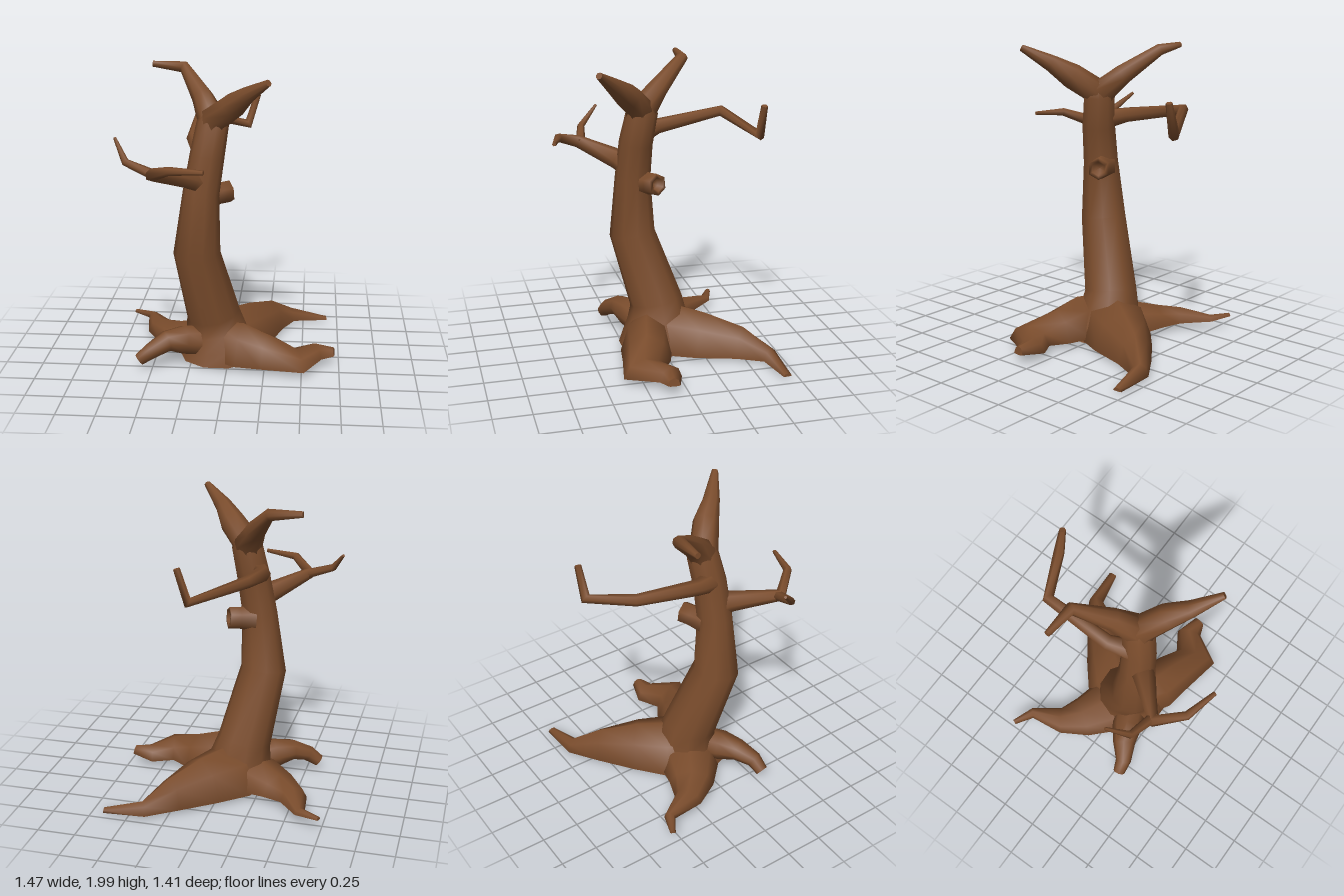
import * as THREE from 'three';

const UP = new THREE.Vector3(0, 1, 0);

// Skins a limb through stations [x, y, z, halfWidth, halfHeight?].
// "low" squashes the lower half of each ring, for roots lying on the ground.
function limb(stations, sides = 8, low = 1) {
  const pts = stations.map(s => new THREE.Vector3(s[0], s[1], s[2]));
  const n = pts.length, pos = [], idx = [];
  let side = null;
  const dir = (a, b) => pts[b].clone().sub(pts[a]).normalize();
  stations.forEach(([, , , w, h = w], i) => {
    const t = new THREE.Vector3();
    if (i > 0) t.add(dir(i - 1, i));
    if (i < n - 1) t.add(dir(i, i + 1));
    t.normalize();
    if (!side) side = Math.abs(t.y) > 0.85 ? new THREE.Vector3(1, 0, 0) : UP.clone().cross(t);
    side.addScaledVector(t, -side.dot(t)).normalize();
    const up = t.clone().cross(side);
    for (let j = 0; j < sides; j++) {
      const a = j / sides * Math.PI * 2, s = Math.sin(a);
      const p = pts[i].clone().addScaledVector(side, Math.cos(a) * w)
        .addScaledVector(up, s * h * (s < 0 ? low : 1));
      pos.push(p.x, p.y, p.z);
    }
  });
  for (let i = 0; i < n - 1; i++) {
    for (let j = 0; j < sides; j++) {
      const k = (j + 1) % sides, a = i * sides, b = a + sides;
      idx.push(a + j, a + k, b + k, a + j, b + k, b + j);
    }
  }
  // end caps use their own vertices so their rims stay sharp
  for (const end of [0, n - 1]) {
    const base = pos.length / 3;
    pos.push(...pos.slice(end * sides * 3, (end + 1) * sides * 3));
    for (let j = 1; j < sides - 1; j++) {
      if (end) idx.push(base, base + j, base + j + 1);
      else idx.push(base, base + j + 1, base + j);
    }
  }
  const g = new THREE.BufferGeometry();
  g.setAttribute('position', new THREE.Float32BufferAttribute(pos, 3));
  g.setIndex(idx);
  g.computeVertexNormals();
  return g;
}

export function createModel() {
  const tree = new THREE.Group();
  tree.name = 'bareTree';
  const bark = new THREE.MeshStandardMaterial({ color: 0x7a4c2c });
  bark.name = 'brown bark';
  const add = (name, geometry) => {
    const m = new THREE.Mesh(geometry, bark);
    m.name = name;
    tree.add(m);
    return m;
  };

  // Leaning trunk, flared at the foot
  add('trunk', limb([
    [-0.07, 0.02, 0.01, 0.27], [-0.07, 0.1, 0.01, 0.245], [-0.09, 0.2, 0.005, 0.21],
    [-0.11, 0.32, 0.01, 0.183], [-0.205, 0.8, 0.155, 0.156], [-0.175, 1.2, 0.155, 0.12],
    [-0.135, 1.45, 0.14, 0.113], [-0.1, 1.66, 0.105, 0.105], [-0.095, 1.75, 0.105, 0.06],
  ], 10));

  // Crown fork
  add('frontFork', limb([
    [-0.13, 1.52, 0.13, 0.07], [-0.085, 1.69, 0.125, 0.095], [0.035, 1.79, 0.225, 0.085],
    [0.125, 1.875, 0.33, 0.056], [0.27, 1.98, 0.46, 0.022],
  ]));
  add('backFork', limb([
    [-0.125, 1.52, 0.125, 0.07], [-0.11, 1.69, 0.085, 0.095], [-0.18, 1.8, -0.03, 0.07],
    [-0.32, 1.965, -0.225, 0.04], [-0.53, 1.982, -0.235, 0.02],
  ]));

  // Thin side branches
  add('backBranch', limb([
    [-0.18, 1.49, 0.1, 0.07], [-0.235, 1.525, -0.03, 0.052], [-0.24, 1.605, -0.48, 0.038],
    [0.085, 1.5, -0.65, 0.036], [0.15, 1.71, -0.655, 0.022],
  ], 6));
  add('frontBranch', limb([
    [-0.15, 1.24, 0.14, 0.08], [-0.225, 1.315, 0.24, 0.07], [-0.45, 1.4, 0.475, 0.042],
    [-0.32, 1.465, 0.63, 0.028], [-0.105, 1.475, 0.69, 0.014],
  ], 6));
  add('frontTwig', limb([
    [-0.42, 1.39, 0.46, 0.035], [-0.62, 1.465, 0.42, 0.025], [-0.705, 1.59, 0.295, 0.01],
  ], 6));

  // Hollow stump of a broken branch
  const profile = [[0.09, 0], [0.075, 0.1], [0.075, 0.17], [0.048, 0.172], [0.036, 0.13], [0, 0.125]];
  const stump = add('hollowStump', new THREE.LatheGeometry(
    profile.map(p => new THREE.Vector2(...p)), 6));
  stump.position.set(-0.145, 1.17, 0.105);
  stump.quaternion.setFromUnitVectors(UP, new THREE.Vector3(0.8, 0.08, -0.42).normalize());

  // Roots spreading over the ground
  add('backRoot', limb([
    [-0.09, 0.03, -0.01, 0.19, 0.27], [-0.02, 0.03, -0.11, 0.245, 0.275],
    [0.12, 0.03, -0.29, 0.195, 0.25], [0.27, 0.03, -0.5, 0.11, 0.19],
    [0.41, 0.025, -0.65, 0.055, 0.085], [0.67, 0.02, -0.68, 0.03, 0.02],
  ], 8, 0.08));
  add('leftRoot', limb([
    [-0.12, 0.05, 0.06, 0.12, 0.22], [0.1, 0.045, 0.13, 0.175, 0.25], [0.27, 0.045, 0.17, 0.16, 0.19],
    [0.475, 0.05, 0.235, 0.15, 0.11], [0.6, 0.06, 0.09, 0.088, 0.085], [0.72, 0.075, 0.1, 0.04, 0.05],
  ], 8, 0.13));
  add('rightRoot', limb([
    [-0.15, 0.14, 0.08, 0.11], [-0.3, 0.17, 0.155, 0.105, 0.1], [-0.41, 0.18, 0.21, 0.08, 0.07],
    [-0.51, 0.13, 0.275, 0.055], [-0.585, 0.075, 0.29, 0.042],
  ]));
  add('backRightRoot', limb([
    [-0.12, 0.05, -0.02, 0.17, 0.17], [-0.24, 0.05, -0.08, 0.2, 0.17], [-0.4, 0.055, -0.175, 0.15, 0.115],
    [-0.52, 0.06, -0.29, 0.095, 0.085], [-0.6, 0.075, -0.49, 0.038, 0.038],
    [-0.735, 0.085, -0.555, 0.018, 0.02],
  ], 8, 0.15));

  return tree;
}
